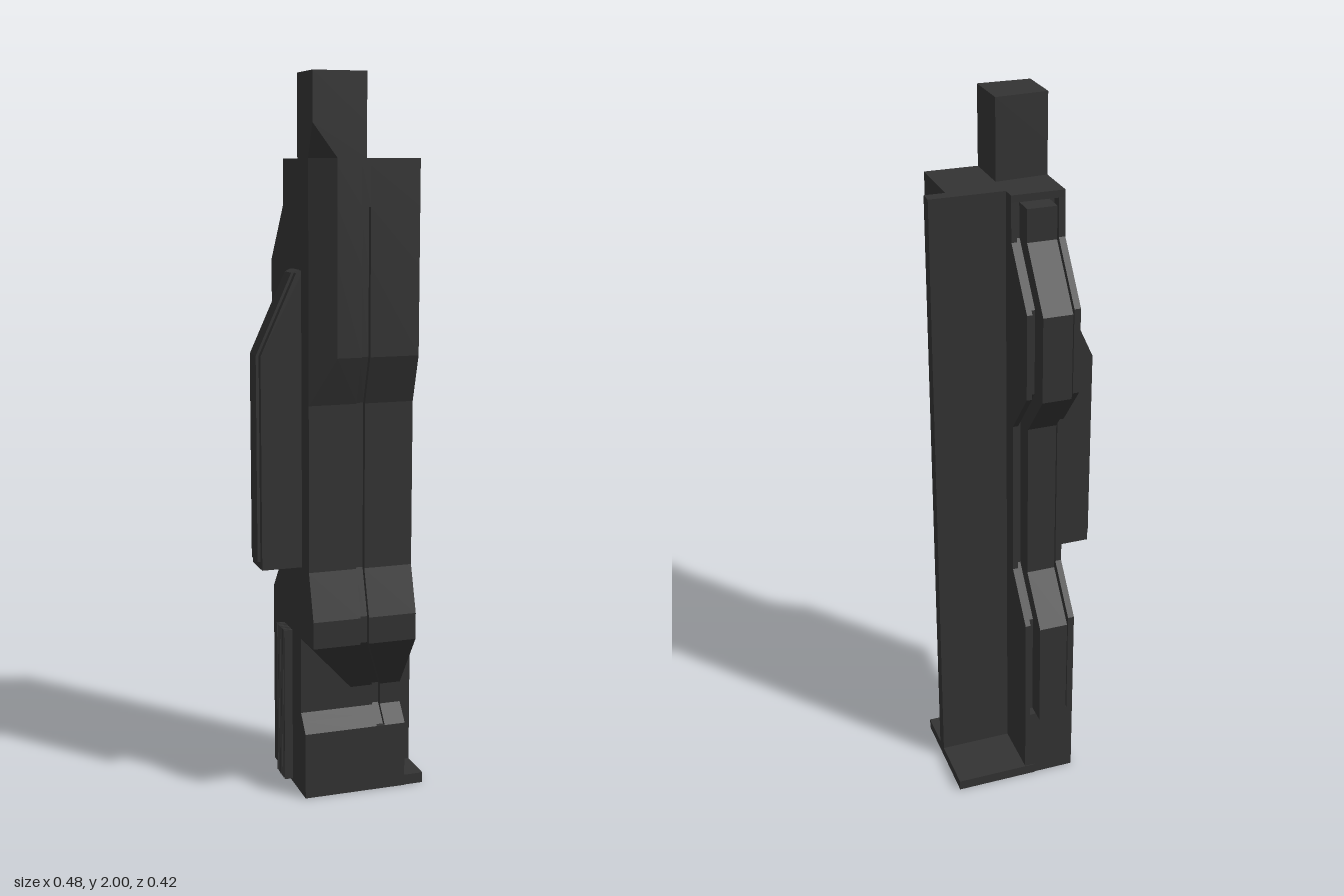
import * as THREE from 'three';

const charcoal = new THREE.MeshStandardMaterial({ color: 0x333333 });
charcoal.name = 'charcoal';

// Skins a stack of equal-length rings (bottom to top, clockwise seen from above) and caps both ends
function loft(rings) {
  const out = [];
  const n = rings[0].length;
  for (let r = 0; r + 1 < rings.length; r++) {
    for (let i = 0; i < n; i++) {
      const j = (i + 1) % n;
      const a = rings[r][i], b = rings[r][j], a2 = rings[r + 1][i], b2 = rings[r + 1][j];
      out.push(...b, ...a, ...b2, ...a, ...a2, ...b2);
    }
  }
  const cap = (ring, up) => {
    const pts = ring.map(p => new THREE.Vector2(p[0], p[2]));
    for (const [i, j, k] of THREE.ShapeUtils.triangulateShape(pts, [])) {
      const u = pts[j].clone().sub(pts[i]), v = pts[k].clone().sub(pts[i]);
      const facesUp = u.y * v.x - u.x * v.y > 0;
      const order = facesUp === up ? [i, j, k] : [i, k, j];
      order.forEach(q => out.push(...ring[q]));
    }
  };
  cap(rings[0], false);
  cap(rings[rings.length - 1], true);
  const g = new THREE.BufferGeometry();
  g.setAttribute('position', new THREE.Float32BufferAttribute(out, 3));
  g.computeVertexNormals();
  return g;
}

// Rear surface depth at a given height
const rear = [[0, -0.178], [0.54, -0.178], [0.67, -0.07], [1.13, -0.07],
  [1.26, -0.178], [1.5, -0.178], [1.66, -0.056], [1.78, -0.056]];
function rearZ(y) {
  for (let i = 1; i < rear.length; i++) {
    const [y0, z0] = rear[i - 1], [y1, z1] = rear[i];
    if (y <= y1) return z0 + (z1 - z0) * (y - y0) / (y1 - y0);
  }
  return rear[rear.length - 1][1];
}

// Column cross-section with front slot, chamfered right edge and rear channel
function columnRing(y, zf, slot, channel, undercut = false) {
  const xEdge = y > 1.2 ? -0.05 : y > 0.4 ? -0.118 : 0.03;
  const zEdge = y > 1.1 ? 0.17 : zf;
  const s = y > 0.4 ? 0.03 : 0.107;
  const zb = rearZ(y);
  return [
    [0.18, y, zf],
    [s + 0.012, y, zf], [s + 0.012, y, zf - slot], [s - 0.012, y, zf - slot], [s - 0.012, y, zf],
    [xEdge, y, zf],
    [-0.118, undercut ? 0.46 : y, zEdge],
    [-0.118, y, zb],
    [-0.1, y, zb], [-0.1, y, zb + channel], [0.015, y, zb + channel], [0.015, y, zb],
    [0.03, y, zb], [0.03, y, -0.017], [0.18, y, -0.017],
  ];
}

export function createModel() {
  const model = new THREE.Group();
  const add = (name, geometry, x = 0, y = 0, z = 0) => {
    const m = new THREE.Mesh(geometry, charcoal);
    m.name = name;
    m.position.set(x, y, z);
    model.add(m);
  };
  const addBox = (name, x0, x1, y0, y1, z0, z1) =>
    add(name, new THREE.BoxGeometry(x1 - x0, y1 - y0, z1 - z0),
      (x0 + x1) / 2, (y0 + y1) / 2, (z0 + z1) / 2);

  // Main column: height, front depth, slot depth, channel depth
  const g = 0.015, c = 0.03;
  const rows = [
    [0, 0.132, 0, 0], [0.19, 0.132, 0, 0], [0.19, 0.132, g, 0],
    [0.22, 0.107, g, 0], [0.22, 0.107, g, c], [0.24, 0.09, g, c],
    [0.3, 0.09, g, c], [0.3, 0.09, g, c, true], [0.465, 0.208, g, c],
    [0.54, 0.208, g, c], [0.67, 0.168, g, c], [1.13, 0.168, g, c],
    [1.26, 0.208, g, c], [1.5, 0.208, g, c], [1.655, 0.208, g, c],
    [1.655, 0.208, 0, c], [1.76, 0.208, 0, c], [1.76, 0.208, 0, 0], [1.78, 0.208, 0, 0],
  ];
  add('column', loft(rows.map(r => columnRing(...r))));

  // Block on top, its lower corner running into the column chamfer
  const topRing = (y, x, z) => [[0.03, y, 0.208], [x, y, 0.208], [-0.118, y, z],
    [-0.118, y, 0.075], [0.03, y, 0.062]];
  add('topBlock', loft([topRing(1.78, -0.05, 0.17), topRing(1.87, -0.118, 0.208),
    topRing(2, -0.118, 0.208)]));

  // Bent conduit lying in the rear channel
  add('rearConduit', loft([0.22, 0.54, 0.67, 1.13, 1.26, 1.5, 1.66, 1.75].map(y => {
    const z = rearZ(y);
    return [[-0.003, y, z + 0.032], [-0.085, y, z + 0.032], [-0.085, y, z - 0.03], [-0.003, y, z - 0.03]];
  })));

  // Base flange and the upright rib on the left side
  addBox('baseFlange', 0, 0.237, 0, 0.03, -0.18, 0.13);
  addBox('sideRib', 0.17, 0.237, 0, 1.78, -0.017, 0.02);

  // Side fin on the right, with a narrower raised ridge
  const finPlate = (name, x, y0, z0, z1) => {
    const s = new THREE.Shape([[-0.11, y0], [x, y0], [x, 1.26], [x + 0.1, 1.48], [-0.11, 1.49]]
      .map(p => new THREE.Vector2(...p)));
    add(name, new THREE.ExtrudeGeometry(s, { depth: z1 - z0, bevelEnabled: false }), 0, 0, z0);
  };
  finPlate('sideFin', -0.232, 0.67, 0.01, 0.105);
  finPlate('finRidge', -0.24, 0.69, 0.026, 0.086);

  // Thin vertical cooling ribs low on the right side
  for (let i = 0; i < 6; i++) {
    const z = -0.067 + i * 0.0143;
    addBox('coolingRib', -0.142, -0.11, 0.01, 0.46, z - 0.0035, z + 0.0035);
  }
  return model;
}
